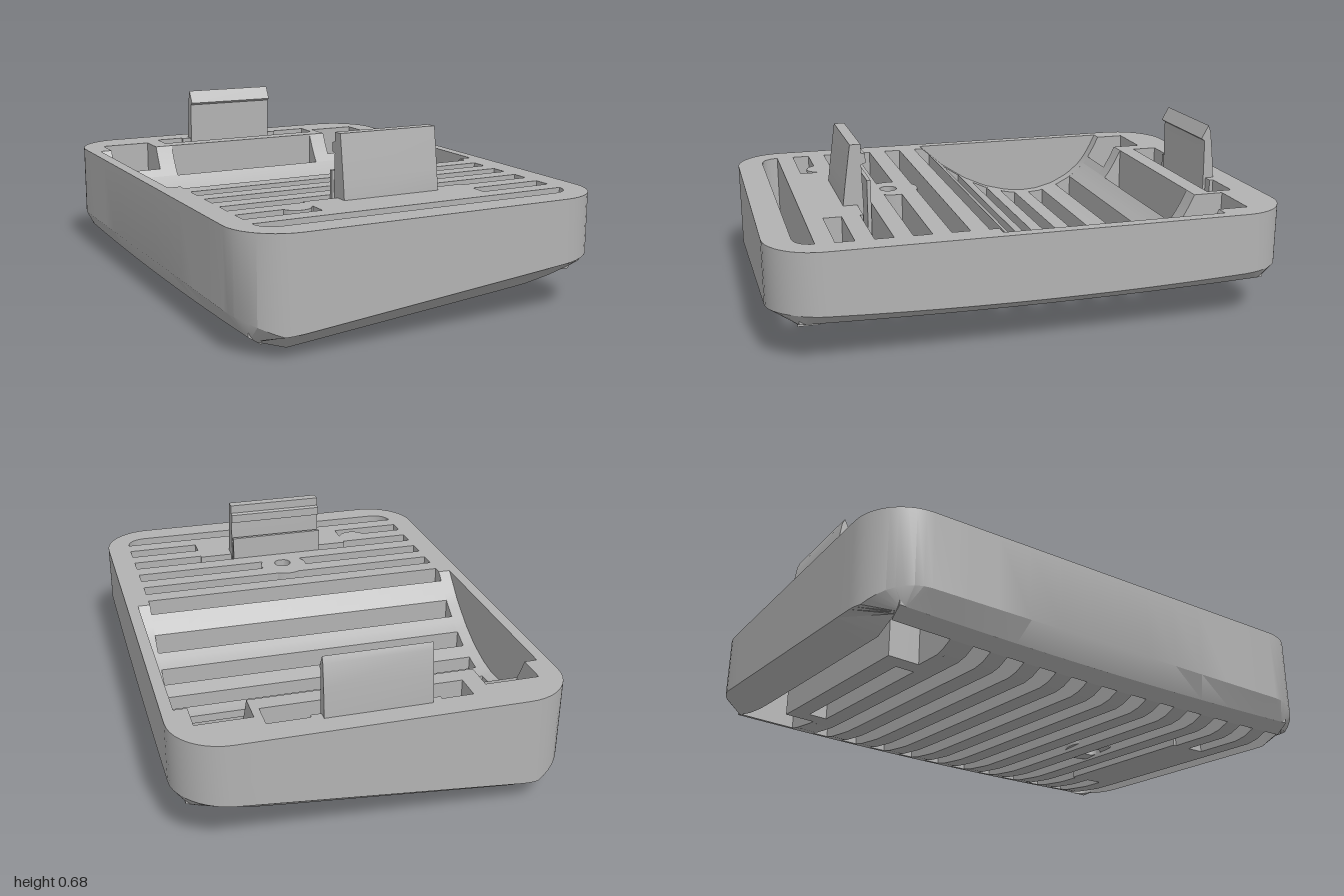
import * as THREE from 'three';
import { toCreasedNormals } from 'three/addons/utils/BufferGeometryUtils.js';

const TOP = 0.44;

// Piecewise-linear lookup through [input, output] points
function lookup(points, v) {
  if (v <= points[0][0]) return points[0][1];
  for (let i = 1; i < points.length; i++) {
    const [a, ya] = points[i - 1], [b, yb] = points[i];
    if (v <= b) return ya + (yb - ya) * (v - a) / (b - a);
  }
  return points[points.length - 1][1];
}

// Tilted underside, turned up at both ends
const UNDER = [[-0.69, 0.06], [-0.64, 0.025], [-0.57, 0], [0.33, 0.08], [0.45, 0.092], [0.6, 0.12], [0.69, 0.15]];
const underside = (x, z) => lookup(UNDER, x) + 0.02 * z * z;

// Scooped hollow in the upper side
const SCOOP = [[-0.72, 0.44], [-0.68, 0.36], [-0.64, 0.305], [-0.58, 0.255], [-0.5, 0.215], [-0.42, 0.195],
  [-0.34, 0.19], [-0.26, 0.2], [-0.16, 0.227], [-0.06, 0.273], [0.05, 0.345], [0.155, 0.44]];
const upside = (z) => lookup(SCOOP, z);

// Lower edge of the outer wall
const wallEdge = (x, z) => 0.145 + 0.094 * x + 0.07 * Math.max(0, (-x - 0.6) / 0.135)
  - 0.03 * Math.max(0, (x - 0.6) / 0.135) * (1 - z * z);

export function createModel() {
  const group = new THREE.Group();
  const grey = new THREE.MeshStandardMaterial({ color: 0xb2b2b2 });
  grey.name = 'grey plastic';

  function add(name, geometry) {
    const mesh = new THREE.Mesh(toCreasedNormals(geometry, 0.5), grey);
    mesh.name = name;
    group.add(mesh);
  }

  // Block between the scooped upper side and the tilted underside
  function block(name, x0, x1, z0, z1, floor) {
    const nx = Math.ceil((x1 - x0) / 0.05), nz = Math.ceil((z1 - z0) / 0.025);
    const g = new THREE.BoxGeometry(x1 - x0, 1, z1 - z0, nx, 1, nz);
    g.translate((x0 + x1) / 2, 0, (z0 + z1) / 2);
    const p = g.attributes.position;
    for (let i = 0; i < p.count; i++) {
      const x = p.getX(i), z = p.getZ(i);
      p.setY(i, p.getY(i) > 0 ? upside(z) : floor ?? underside(x, z));
    }
    add(name, g);
  }
  function blockPair(name, x0, x1, z0, z1, floor) {
    block(name + 'Left', x0, x1, z0, z1, floor);
    block(name + 'Right', -x1, -x0, z0, z1, floor);
  }

  // Plan shape (x, z) extruded down from the top
  function plan(name, shape, depth) {
    const g = new THREE.ExtrudeGeometry(shape, { depth, bevelEnabled: false, curveSegments: 16 });
    g.rotateX(Math.PI / 2).translate(0, TOP, 0);
    add(name, g);
  }

  // Side profile (z, y) extruded across x
  function clip(name, points, halfWidth) {
    const shape = new THREE.Shape(points.map(([z, y]) => new THREE.Vector2(z, y)));
    const g = new THREE.ExtrudeGeometry(shape, { depth: 2 * halfWidth, bevelEnabled: false });
    g.rotateY(-Math.PI / 2).translate(halfWidth, 0, 0);
    add(name, g);
  }

  // Rounded rectangle path with evenly divided sides
  function roundedLoop(w, d, r) {
    const corners = [[1, 1], [-1, 1], [-1, -1], [1, -1]], loop = [];
    corners.forEach(([sx, sz], c) => {
      for (let k = 0; k <= 10; k++) {
        const a = (c + k / 10) * Math.PI / 2;
        loop.push([sx * (w - r) + r * Math.cos(a), sz * (d - r) + r * Math.sin(a)]);
      }
      const [nx, nz] = corners[(c + 1) % 4], a = (c + 1) * Math.PI / 2;
      const from = loop[loop.length - 1];
      const to = [nx * (w - r) + r * Math.cos(a), nz * (d - r) + r * Math.sin(a)];
      for (let k = 1; k < 12; k++) loop.push(from.map((v, i) => v + (to[i] - v) * k / 12));
    });
    return loop;
  }

  // Outer frame: wall, rim and under-bevel
  const outer = roundedLoop(0.735, 1, 0.2), inner = roundedLoop(0.69, 0.895, 0.03);
  const position = [], index = [], n = outer.length;
  for (let i = 0; i < n; i++) {
    const [ox, oz] = outer[i], [ix, iz] = inner[i];
    position.push(ox, wallEdge(ox, oz), oz, ox, TOP, oz, ix, TOP, iz, ix, underside(ix, iz), iz);
    for (let j = 0; j < 4; j++) {
      const a = i * 4 + j, b = i * 4 + (j + 1) % 4;
      const c = ((i + 1) % n) * 4 + (j + 1) % 4, d = ((i + 1) % n) * 4 + j;
      index.push(a, b, c, a, c, d);
    }
  }
  const frame = new THREE.BufferGeometry();
  frame.setAttribute('position', new THREE.Float32BufferAttribute(position, 3));
  frame.setIndex(index);
  add('frame', frame);

  // Side ledges that follow the scoop
  blockPair('backLedge', 0.64, 0.69, -0.895, -0.72);
  blockPair('scoopLedge', 0.64, 0.69, -0.72, 0.155);
  blockPair('frontLedge', 0.64, 0.69, 0.155, 0.895);

  // Cross slats
  for (let k = -1; k < 10; k++) {
    const z = -0.4725 + 0.14 * k;
    if (z < 0.155 && z + 0.035 > 0.155) continue;
    block('slat' + (k + 2), -0.64, 0.64, z - 0.035, z + 0.035);
  }

  // Back deck around the long slot and the corner openings
  block('backBar', -0.43, 0.43, -0.79, -0.72);
  blockPair('backBarEnd', 0.355, 0.43, -0.72, -0.645);
  blockPair('cornerBridge', 0.43, 0.64, -0.67, -0.645);
  blockPair('cornerShelf', 0.43, 0.64, -0.9, -0.84, 0.28);
  block('deckRight', -0.43, -0.36, -0.9, -0.79, 0.28);
  block('deckLeft', 0.4, 0.43, -0.9, -0.79, 0.28);
  block('clipShelf', -0.24, 0.24, -0.9, -0.88, 0.2);

  // Front plate carrying the clip
  block('frontPlate', -0.34, 0.34, 0.6, 0.8);

  // Screw boss
  const boss = new THREE.Shape();
  boss.absarc(0, 0.42, 0.1, 0, Math.PI * 2);
  const hole = new THREE.Path();
  hole.absarc(0, 0.44, 0.035, 0, Math.PI * 2, true);
  boss.holes.push(hole);
  plan('screwBoss', boss, 0.37);

  // Half-round stop in a front slot
  const stop = new THREE.Shape();
  stop.absarc(-0.4, 0.66, 0.06, 0, Math.PI);
  plan('stop', stop, 0.3);

  // Rounded ends of the front slot
  for (const s of [-1, 1]) {
    const fillet = new THREE.Shape();
    fillet.moveTo(s * 0.64, 0.895);
    fillet.lineTo(s * 0.64, 0.815);
    fillet.quadraticCurveTo(s * 0.635, 0.89, s * 0.56, 0.895);
    plan('slotFillet' + (s > 0 ? 'Left' : 'Right'), fillet, 0.3);
  }

  // Snap clips
  clip('frontClip', [[0.655, 0.2], [0.655, 0.44], [0.645, 0.52], [0.628, 0.64], [0.622, 0.68], [0.58, 0.68],
    [0.58, 0.645], [0.563, 0.64], [0.563, 0.605], [0.58, 0.6], [0.575, 0.44], [0.575, 0.2]], 0.2);
  clip('frontClipTab', [[0.56, 0.2], [0.56, 0.535], [0.545, 0.535], [0.545, 0.2]], 0.2);
  clip('backClip', [[-0.915, 0.2], [-0.915, 0.44], [-0.905, 0.55], [-0.893, 0.64], [-0.883, 0.665],
    [-0.853, 0.61], [-0.868, 0.6], [-0.87, 0.44], [-0.87, 0.2]].map(([z, y]) => [z, y]), 0.2);

  return group;
}
